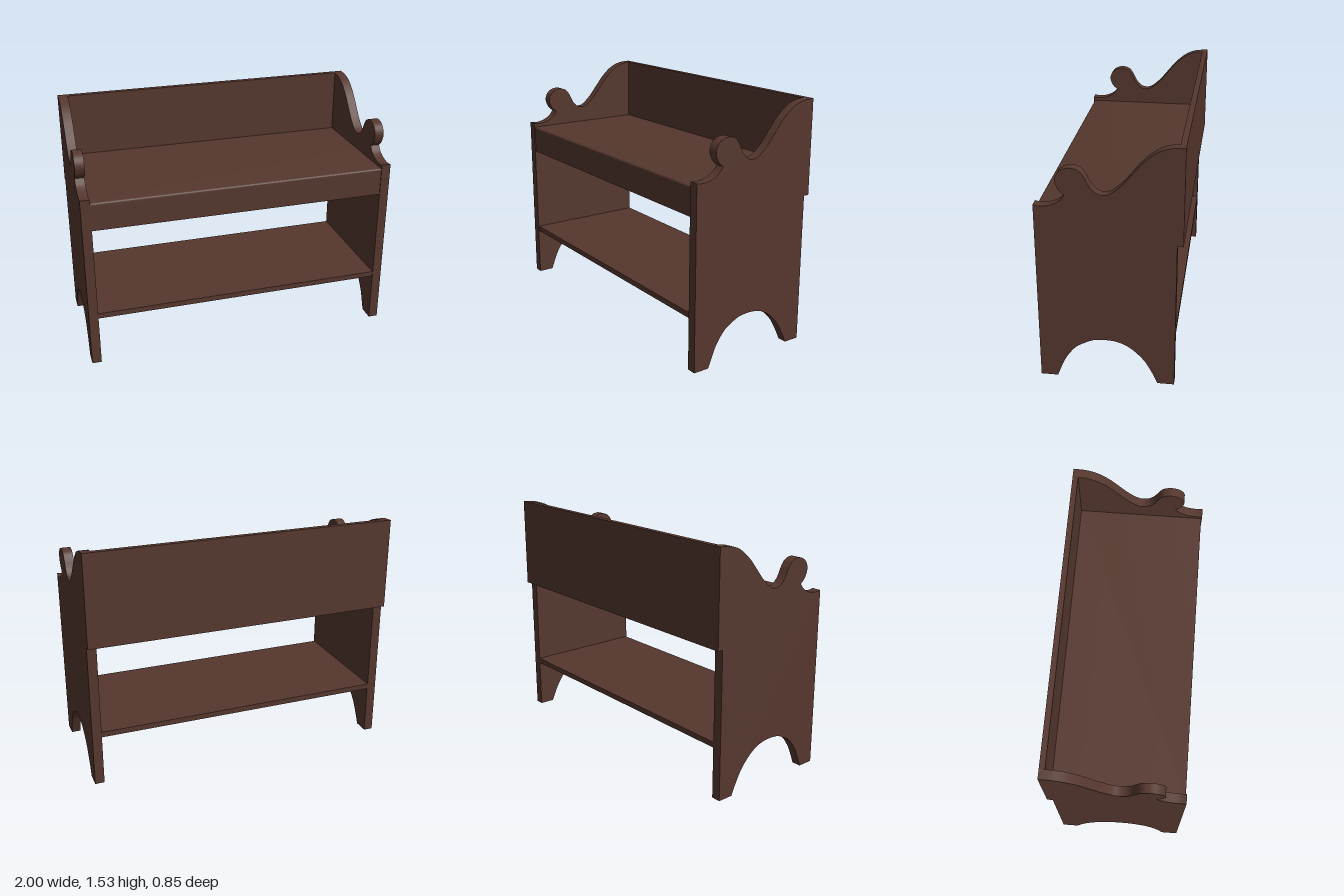
import * as THREE from 'three';
import { toCreasedNormals } from 'three/addons/utils/BufferGeometryUtils.js';

const HALF = 1, THICK = 0.06, INNER = HALF - THICK;
const FRONT = 0.425, BACK = -0.425, LEG_BACK = -0.39;

const points = (list) => list.map(([z, y]) => new THREE.Vector2(z, y));

// Scrolled end board outline, drawn as (z, y)
function endGeometry() {
  const s = new THREE.Shape();
  s.moveTo(0.322, 0);
  s.lineTo(FRONT, 0);
  s.lineTo(FRONT, 1.147);
  // front lip up to the notch
  s.splineThru(points([[0.38, 1.142], [0.325, 1.152], [0.275, 1.178], [0.243, 1.215]]));
  // round knob, dip and sweep up to the back
  s.splineThru(points([
    [0.278, 1.25], [0.295, 1.3], [0.282, 1.342], [0.25, 1.37], [0.205, 1.38], [0.16, 1.367],
    [0.13, 1.332], [0.1, 1.274], [0.064, 1.238], [0.022, 1.228], [-0.02, 1.242], [-0.08, 1.295],
    [-0.14, 1.367], [-0.2, 1.437], [-0.27, 1.494], [-0.34, 1.522], [BACK, 1.53],
  ]));
  // step under the back board, then the rear foot
  s.lineTo(BACK, 0.94);
  s.lineTo(LEG_BACK, 0.94);
  s.lineTo(LEG_BACK, 0);
  s.lineTo(-0.29, 0);
  // arch between the feet
  s.splineThru(points([
    [-0.25, 0.085], [-0.2, 0.165], [-0.12, 0.24], [-0.03, 0.277], [0.08, 0.277],
    [0.15, 0.25], [0.21, 0.21], [0.265, 0.135], [0.295, 0.07], [0.322, 0],
  ]));
  const g = new THREE.ExtrudeGeometry(s, { depth: THICK, bevelEnabled: false, curveSegments: 60 });
  g.rotateY(-Math.PI / 2);
  g.translate(THICK / 2, 0, 0);
  return toCreasedNormals(g, 0.6);
}

export function createModel() {
  const model = new THREE.Group();
  const wood = new THREE.MeshStandardMaterial({ color: 0x55372e });
  wood.name = 'dark brown wood';

  const add = (name, geometry) => {
    const mesh = new THREE.Mesh(geometry, wood);
    mesh.name = name;
    model.add(mesh);
    return mesh;
  };
  // board between the ends, given its y and z limits
  const board = (name, y0, y1, z0, z1) => {
    const mesh = add(name, new THREE.BoxGeometry(2 * INNER, y1 - y0, z1 - z0));
    mesh.position.set(0, (y0 + y1) / 2, (z0 + z1) / 2);
  };

  // matching end boards
  const end = endGeometry();
  add('leftEnd', end).position.x = HALF - THICK / 2;
  add('rightEnd', end).position.x = -(HALF - THICK / 2);

  // seat with an eased front edge
  const seat = new THREE.Shape();
  seat.moveTo(LEG_BACK, 1.085);
  seat.lineTo(FRONT - 0.005, 1.085);
  seat.lineTo(FRONT - 0.005, 1.108);
  seat.quadraticCurveTo(FRONT - 0.005, 1.12, FRONT - 0.017, 1.12);
  seat.lineTo(LEG_BACK, 1.12);
  const seatGeometry = new THREE.ExtrudeGeometry(seat, { depth: 2 * INNER, bevelEnabled: false, curveSegments: 4 });
  seatGeometry.rotateY(-Math.PI / 2);
  seatGeometry.translate(INNER, 0, 0);
  add('seat', toCreasedNormals(seatGeometry, 0.6));

  board('apron', 0.94, 1.085, 0.385, 0.42);
  board('backBoard', 0.94, 1.53, BACK, LEG_BACK);
  board('lowerShelf', 0.325, 0.36, LEG_BACK, 0.42);
  return model;
}
